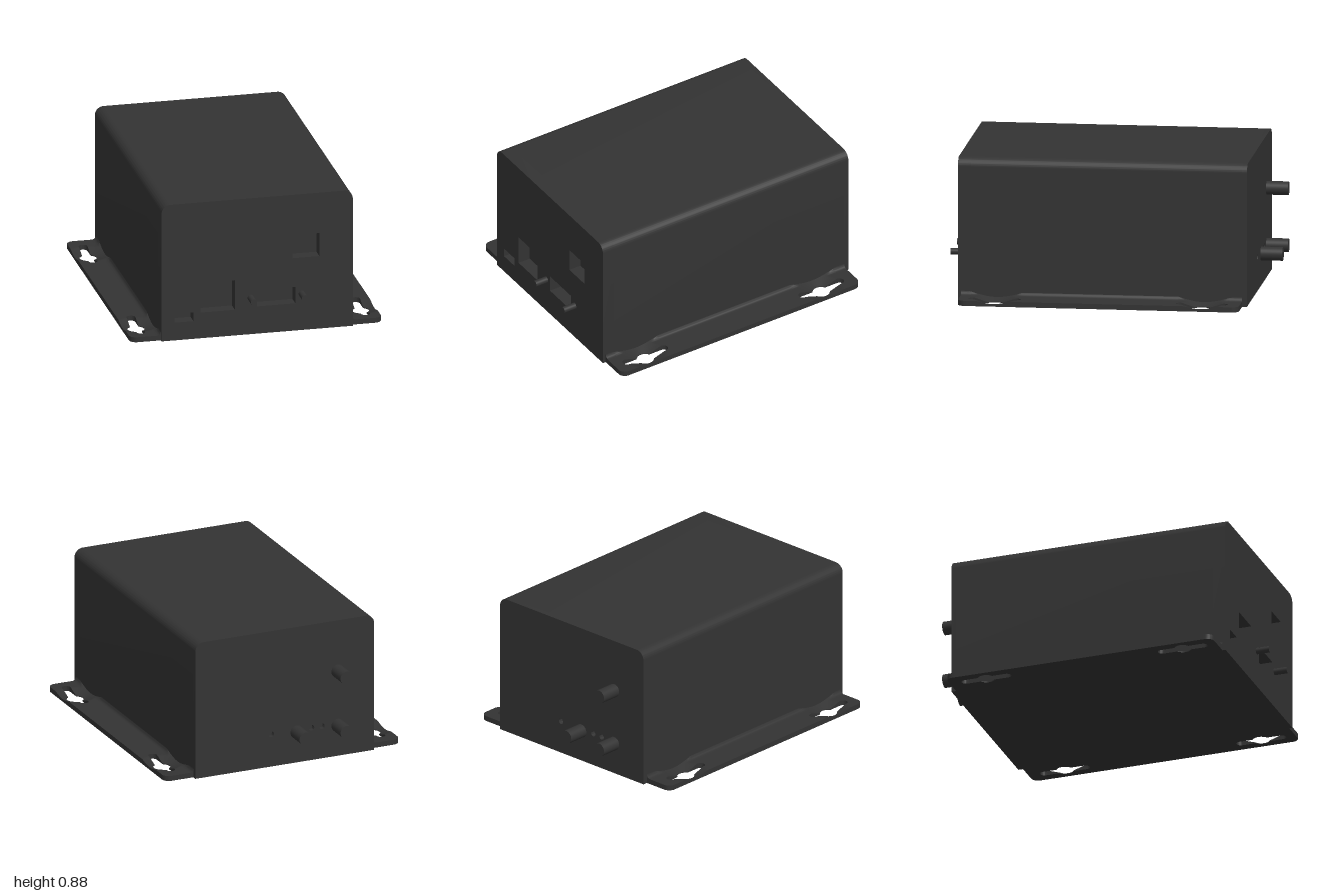
import * as THREE from 'three';
import { toCreasedNormals } from 'three/addons/utils/BufferGeometryUtils.js';

const W = 0.6, H = 0.885, BACK = -0.865, FRONT = 0.915;   // housing
const POCKET = 0.08, HOLE = 0.03;                         // depths of front and rear openings
const material = new THREE.MeshStandardMaterial({ color: 0x333333 });

function addMesh(parent, name, geometry) {
  const mesh = new THREE.Mesh(geometry, material);
  mesh.name = name;
  parent.add(mesh);
  return mesh;
}

// Housing cross-section with rounded top corners
function housingShape() {
  const r = 0.055, s = new THREE.Shape();
  s.moveTo(-W, 0);
  s.lineTo(W, 0);
  s.lineTo(W, H - r);
  s.absarc(W - r, H - r, r, 0, Math.PI / 2);
  s.lineTo(-W + r, H);
  s.absarc(-W + r, H - r, r, Math.PI / 2, Math.PI);
  s.closePath();
  return s;
}

function rectHole([x0, x1, y0, y1]) {
  const p = new THREE.Path();
  p.moveTo(x0, y0);
  p.lineTo(x0, y1);
  p.lineTo(x1, y1);
  p.lineTo(x1, y0);
  p.closePath();
  return p;
}

function roundHole([x, y, r]) {
  return new THREE.Path().absarc(x, y, r, 0, Math.PI * 2, true);
}

function slab(z0, z1, holes = []) {
  const shape = housingShape();
  shape.holes.push(...holes);
  const geo = new THREE.ExtrudeGeometry(shape, { depth: z1 - z0, bevelEnabled: false, curveSegments: 12 });
  geo.translate(0, 0, z0);
  return toCreasedNormals(geo, 0.6);
}

// Rod along z
function rod(parent, name, x, y, r, z0, z1) {
  const geo = new THREE.CylinderGeometry(r, r, z1 - z0, 32).rotateX(Math.PI / 2);
  addMesh(parent, name, geo).position.set(x, y, (z0 + z1) / 2);
}

// Mounting flange dimensions
const F = { z0: -0.835, z1: 0.895, out: 0.79, t: 0.032, corner: 0.045, fillet: 0.025, keyX: 0.705, keys: [-0.6, 0.675] };
const KEY = { big: 0.053, slot: 0.027, straight: 0.133, dish: 0.13, slope: 0.35 };

// Half the keyhole width at z
function keyHalfWidth(z) {
  let w = 0;
  for (const c of F.keys) {
    const d = Math.abs(z - c), tip = Math.max(0, d - KEY.straight);
    w = Math.max(w, Math.sqrt(Math.max(0, KEY.big ** 2 - d * d)), Math.sqrt(Math.max(0, KEY.slot ** 2 - tip * tip)));
  }
  return w;
}

// Outer edge with rounded corners
function outerEdge(z) {
  const e = Math.max(0, F.corner - Math.min(z - F.z0, F.z1 - z));
  return F.out - F.corner + Math.sqrt(Math.max(0, F.corner ** 2 - e * e));
}

// Top surface: flat, filleted to the housing, dished around each keyhole
function flangeTop(x, z) {
  const f = Math.max(0, W + F.fillet - x);
  let y = F.t + F.fillet - Math.sqrt(Math.max(0, F.fillet ** 2 - f * f));
  for (const c of F.keys) {
    const r = Math.hypot(x - F.keyX, z - c);
    y = Math.min(y, F.t + (r - KEY.dish) * KEY.slope);
  }
  return y;
}

// Stations along z, denser at curves
function flangeStations() {
  const set = [];
  for (let i = 0; i <= 8; i++) {
    const k = F.corner * (1 - Math.cos((i / 8) * Math.PI / 2));
    set.push(F.z0 + k, F.z1 - k);
  }
  for (const c of F.keys) {
    for (let i = 0; i <= 24; i++) set.push(c + KEY.big * Math.cos((i / 24) * Math.PI));
    for (let i = 0; i <= 8; i++) {
      const tip = KEY.straight + KEY.slot * Math.sin((i / 8) * Math.PI / 2);
      const ring = KEY.big + (KEY.dish - KEY.big) * (i / 8);
      set.push(c + tip, c - tip, c + ring, c - ring);
    }
  }
  set.sort((a, b) => a - b);
  return set.filter((z, i) => i === 0 || z - set[i - 1] > 1e-6);
}

// One strip of flange lofted along z; side mirrors it in x
function flangeStrip(side, left, right) {
  const n = 14, ring = 2 * (n + 1), zs = flangeStations(), pos = [], index = [];
  const tri = (a, b, c) => (side > 0 ? index.push(a, b, c) : index.push(a, c, b));
  for (const z of zs) {
    const a = left(z), b = right(z);
    const xAt = (i) => a + (b - a) * (i / n) ** 1.6;
    for (let i = 0; i <= n; i++) pos.push(side * xAt(i), 0, z);
    for (let i = n; i >= 0; i--) pos.push(side * xAt(i), flangeTop(xAt(i), z), z);
  }
  for (let i = 0; i < zs.length - 1; i++) {
    for (let j = 0; j < ring; j++) {
      const a = i * ring + j, b = i * ring + (j + 1) % ring;
      tri(a, b, b + ring);
      tri(a, b + ring, a + ring);
    }
  }
  const last = (zs.length - 1) * ring;
  for (let j = 1; j < ring - 1; j++) {
    tri(0, j + 1, j);
    tri(last, last + j, last + j + 1);
  }
  const geo = new THREE.BufferGeometry();
  geo.setAttribute('position', new THREE.Float32BufferAttribute(pos, 3));
  geo.setIndex(index);
  return toCreasedNormals(geo, 0.5);
}

export function createModel() {
  const model = new THREE.Group();
  model.name = 'electronicsEnclosure';

  // Housing: core between a front panel with ports and a rear panel with small holes
  const housing = new THREE.Group();
  housing.name = 'housing';
  model.add(housing);
  const ports = [
    [-0.52, -0.4, 0.115, 0.172],
    [-0.355, -0.14, 0.167, 0.36],
    [0, 0.24, 0.177, 0.285],
    [0.22, 0.39, 0.472, 0.622],
  ];
  const pinholes = [[0.09, 0.21, 0.018], [-0.18, 0.21, 0.018], [-0.25, 0.21, 0.018]];
  addMesh(housing, 'housingCore', slab(BACK + HOLE, FRONT - POCKET));
  addMesh(housing, 'frontPanel', slab(FRONT - POCKET, FRONT, ports.map(rectHole)));
  addMesh(housing, 'rearPanel', slab(BACK, BACK + HOLE, pinholes.map(roundHole)));

  // Screw posts beside the wide front port
  for (const x of [-0.04, 0.28]) rod(model, 'screwPost', x, 0.237, 0.02, FRONT - 0.01, 1);

  // Rear antenna connectors
  for (const [x, y] of [[-0.355, 0.555], [-0.355, 0.2], [-0.08, 0.2]]) {
    rod(model, 'rearConnector', x, y, 0.042, -1, BACK + 0.01);
  }

  // Mounting flanges, each split along its keyholes
  for (const side of [1, -1]) {
    const flange = new THREE.Group();
    flange.name = side > 0 ? 'leftFlange' : 'rightFlange';
    addMesh(flange, 'innerStrip', flangeStrip(side, () => W, (z) => F.keyX - keyHalfWidth(z)));
    addMesh(flange, 'outerStrip', flangeStrip(side, (z) => F.keyX + keyHalfWidth(z), outerEdge));
    model.add(flange);
  }
  return model;
}
